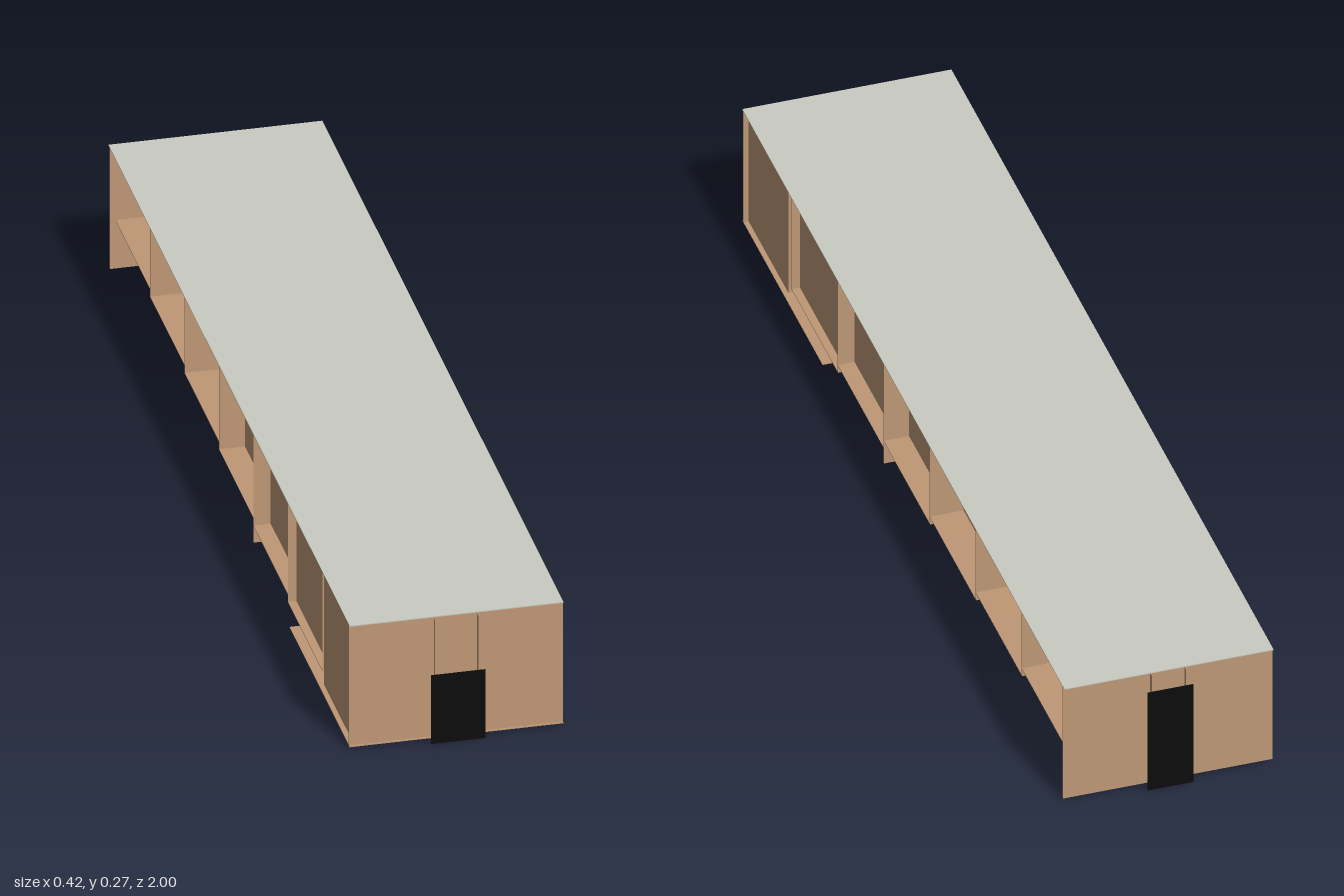
import * as THREE from 'three';

export function createModel() {
  const model = new THREE.Group();
  model.name = 'steppedHall';

  const timber = new THREE.MeshStandardMaterial({ color: 0xbf9876 });
  timber.name = 'timber brown';
  const roofGrey = new THREE.MeshStandardMaterial({ color: 0xc9cac2 });
  roofGrey.name = 'roof grey';
  const black = new THREE.MeshStandardMaterial({ color: 0x0c0c0c });
  black.name = 'door black';

  const T = 0.002; // sheet thickness

  // Box given by its two extreme corners
  function slab(name, mat, x0, x1, y0, y1, z0, z1) {
    const mesh = new THREE.Mesh(new THREE.BoxGeometry(x1 - x0, y1 - y0, z1 - z0), mat);
    mesh.position.set((x0 + x1) / 2, (y0 + y1) / 2, (z0 + z1) / 2);
    mesh.name = name;
    model.add(mesh);
    return mesh;
  }

  const outer = 0.208;  // roof and end walls
  const half = 0.197;   // floors and partitions
  const top = 0.264;    // underside of the roof
  const base = 0.005;

  // Flat roof and the low entrance floor
  slab('roof', roofGrey, -outer, outer, top, top + T, -0.99, 0.986);
  slab('entranceFloor', timber, -outer, outer, base, base + T, 0.495, 0.986);

  // End walls with door, and thin jambs running up to the roof
  for (const end of [
    { name: 'front', s: 1, doorHalf: 0.053, doorTop: 0.147, jamb: 0.042 },
    { name: 'back', s: -1, doorHalf: 0.045, doorTop: 0.227, jamb: 0.034 },
  ]) {
    const z = (a, b) => [Math.min(a * end.s, b * end.s), Math.max(a * end.s, b * end.s)];
    slab(end.name + 'Wall', timber, -outer, outer, base, top, ...z(0.978, 0.982));
    slab(end.name + 'Door', black, -end.doorHalf, end.doorHalf, 0, end.doorTop, ...z(0.998, 1));
    for (const side of [-1, 1]) {
      const x = side * end.jamb;
      slab(end.name + 'Jamb', timber, x - T / 2, x + T / 2, base, top - 0.004, ...z(0.982, 0.992));
    }
  }

  // Entrance room: side walls and rear partition, with a narrow gap behind it
  for (const side of [-1, 1]) {
    const x = side * half;
    slab('entranceSideWall', timber, x - T / 2, x + T / 2, base, top, 0.735, 0.979);
  }
  slab('entrancePartition', timber, -half, half, base, top, 0.735, 0.735 + T);

  // Six rooms, each floor higher and each pair of side walls closer together
  const length = 0.2822;
  const rise = 0.0163;
  for (let i = 0; i < 6; i++) {
    const z1 = 0.717 - i * length;
    const z0 = z1 - length;
    const y = 0.01 + (i + 1) * rise;
    const wallX = half - 0.017 * (i + 1);
    slab('roomFloor', timber, -half, half, y, y + T, z0, z1);
    for (const side of [-1, 1]) {
      const x = side * wallX;
      slab('roomSideWall', timber, x - T / 2, x + T / 2, y, top, z0, z1);
    }
    // Partition closes the step below; the third one reaches the ground
    const bottom = i === 2 ? 0.008 : i === 0 ? y : y - rise;
    slab('roomPartition', timber, -half, half, bottom, top, z1 - T / 2, z1 + T / 2);
  }

  return model;
}
